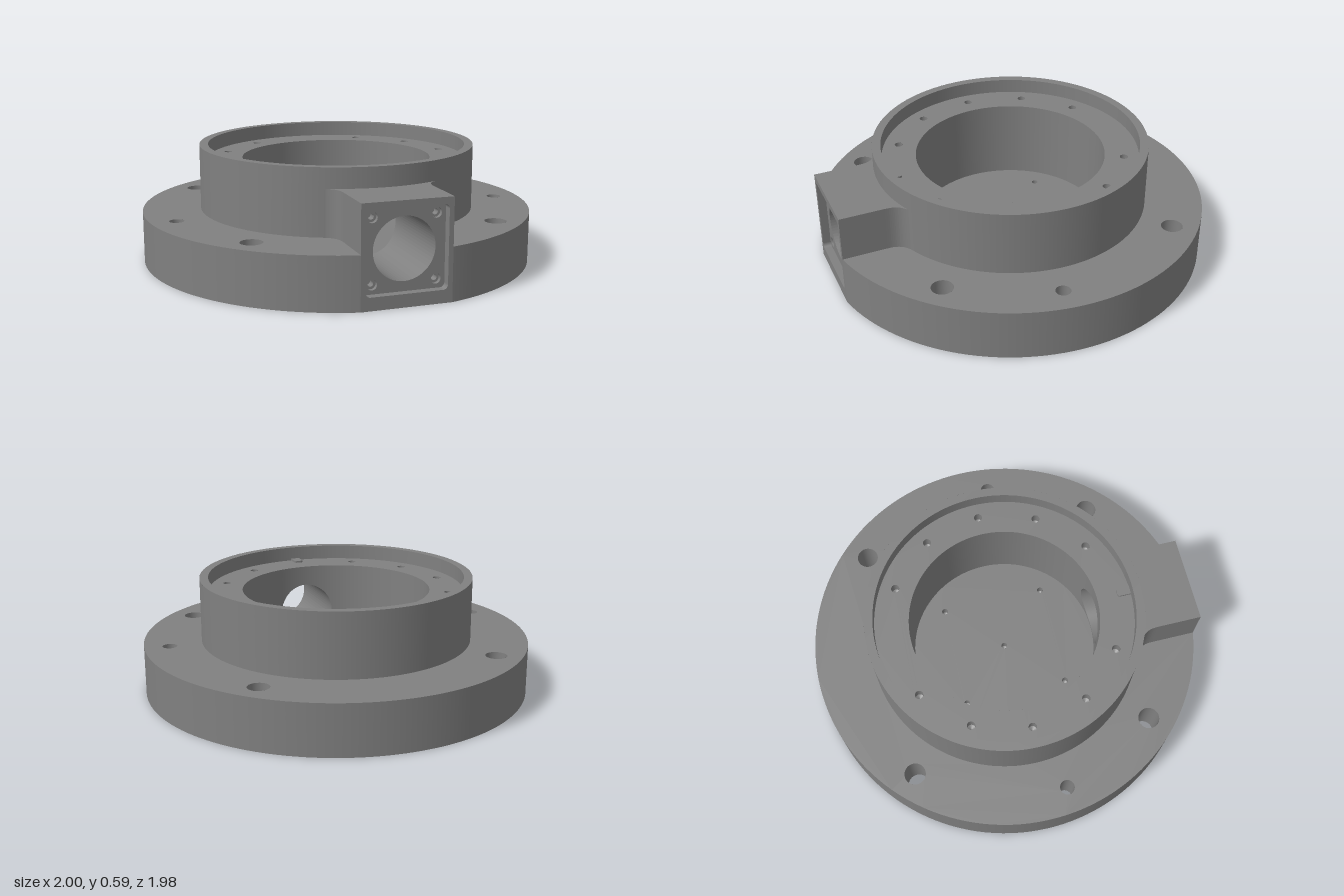
import * as THREE from 'three';
import { ParametricGeometry } from 'three/addons/geometries/ParametricGeometry.js';

const PI = Math.PI;
const FLANGE_TOP = 0.26, TOP = 0.59, SHELF = 0.515, FLOOR = 0.10, RECESS = 0.004;
const R_BOSS = 0.704, R_LIP = 0.66, R_BORE = 0.485, R_RECESS = 0.705;
const PORT_W = 0.22, PORT_TOP = 0.49, PORT_Y = 0.26, PORT_R = 0.15;
const FRONT = Math.sqrt(1 - PORT_W * PORT_W);

export function createModel() {
  const model = new THREE.Group();
  model.name = 'flangedHousing';
  model.position.z = 0.012;
  const root = new THREE.Group();
  root.add(model);
  const mat = new THREE.MeshStandardMaterial({ color: 0x808080, side: THREE.DoubleSide });

  const add = (name, geo, x = 0, y = 0, z = 0) => {
    const m = new THREE.Mesh(geo, mat);
    m.name = name;
    m.position.set(x, y, z);
    model.add(m);
    return m;
  };
  // Open cylinder wall between two heights, leaving a gap at the front
  const wall = (name, r, y0, y1, gap = 0, x = 0, z = 0, seg = 128) =>
    add(name, new THREE.CylinderGeometry(r, r, y1 - y0, seg, 1, true, gap, 2 * PI - 2 * gap), x, (y0 + y1) / 2, z);
  const punch = (shape, x, y, r) => shape.holes.push(new THREE.Path().absarc(x, y, r, 0, 2 * PI, true));
  const disc = (r) => new THREE.Shape().absarc(0, 0, r, 0, 2 * PI, false);
  // Horizontal face from a plan shape whose y is -z
  const face = (name, shape, y, up = true) => {
    const g = new THREE.ShapeGeometry(shape, 64).rotateX(-PI / 2);
    if (!up) {
      const idx = g.index.array;
      for (let i = 0; i < idx.length; i += 3) [idx[i], idx[i + 1]] = [idx[i + 1], idx[i]];
      g.computeVertexNormals();
    }
    add(name, g, 0, y, 0);
  };
  // Drilled hole with a conical tip
  const blindHole = (name, x, z, r, y, depth) => {
    wall(name, r, y - depth, y, 0, x, z, 20);
    add(name + 'Tip', new THREE.ConeGeometry(r, r * 0.6, 20, 1, true).rotateX(PI), x, y - depth - r * 0.3, z);
  };

  // Flange: C-shaped top, ring-shaped underside and outer wall
  const flat = Math.asin(PORT_W), notch = Math.asin(0.21 / 0.695);
  const outline = () => new THREE.Shape().absarc(0, 0, 1, -PI / 2 + flat, 1.5 * PI - flat, false);
  const top = outline().absarc(0, 0, 0.695, 1.5 * PI - notch, -PI / 2 + notch, true);
  const under = outline();
  punch(under, 0, 0, R_RECESS);
  const bolts = [];
  for (const s of [-1, 1]) {
    bolts.push([s * 0.615, -0.615, 0.054], [s * 0.615, 0.615, 0.054], [s * 0.863, 0.115, 0.037]);
  }
  for (const [x, z, r] of bolts) {
    punch(top, x, -z, r);
    punch(under, x, -z, r);
    wall('mountingHole', r, 0, FLANGE_TOP, 0, x, z, 40);
  }
  face('flangeTop', top, FLANGE_TOP);
  face('flangeUnderside', under, 0, false);
  wall('flangeRim', 1, 0, FLANGE_TOP, flat);
  wall('undersideStep', R_RECESS, 0, RECESS);
  face('undersideRecess', disc(R_RECESS), RECESS, false);

  // Boss with raised lip; the front piece bridges the port block
  wall('bossWall', R_BOSS, FLANGE_TOP, TOP, 0.3);
  wall('bossWallFront', R_BOSS, PORT_TOP, TOP, PI - 0.3, 0, 0, 16).rotation.y = PI;
  wall('lipInside', R_LIP, SHELF, TOP);
  const lip = disc(R_BOSS);
  punch(lip, 0, 0, R_LIP);
  face('lipTop', lip, TOP);

  // Shelf with its ring of screw holes and a locating key
  const shelf = disc(R_LIP);
  punch(shelf, 0, 0, R_BORE);
  for (let i = 0; i < 12; i++) {
    if (i % 6 === 3) continue;
    const x = 0.583 * Math.cos(i * PI / 6), z = 0.583 * Math.sin(i * PI / 6);
    punch(shelf, x, -z, 0.021);
    blindHole('shelfScrewHole', x, z, 0.021, SHELF, 0.06);
  }
  face('shelf', shelf, SHELF);
  const key = new THREE.Shape().moveTo(-0.024, -0.659).lineTo(0.024, -0.659).lineTo(0.024, -0.605)
    .quadraticCurveTo(0.024, -0.59, 0.01, -0.59).lineTo(-0.01, -0.59).quadraticCurveTo(-0.024, -0.59, -0.024, -0.605);
  add('locatingKey', new THREE.ExtrudeGeometry(key, { depth: 0.01, bevelEnabled: false }).rotateX(-PI / 2), 0, SHELF, 0);

  // Bore floor with small holes
  const floor = disc(R_BORE);
  for (const [x, z] of [[0, 0], [0.27, 0.27], [-0.27, 0.27], [0.27, -0.27], [-0.27, -0.27]]) {
    punch(floor, x, -z, 0.016);
    blindHole('floorHole', x, z, 0.016, FLOOR, 0.05);
  }
  face('boreFloor', floor, FLOOR);

  // Bore wall, with a curved patch around the port opening
  const patch = 0.4;
  wall('boreWall', R_BORE, FLOOR, SHELF, patch);
  const onBore = (x) => Math.sqrt(R_BORE * R_BORE - x * x);
  add('borePortSurround', new ParametricGeometry((u, v, p) => {
    const c = Math.cos(2 * PI * u), s = Math.sin(2 * PI * u), m = Math.max(Math.abs(c), Math.abs(s));
    const edgeX = c / m * R_BORE * Math.sin(patch);
    const edgeY = s / m * (s > 0 ? SHELF - PORT_Y : PORT_Y - FLOOR);
    const x = THREE.MathUtils.lerp(PORT_R * c, edgeX, v);
    p.set(x, PORT_Y + THREE.MathUtils.lerp(PORT_R * s, edgeY, v), onBore(x));
  }, 64, 6));
  add('portLiner', new ParametricGeometry((u, v, p) => {
    const x = PORT_R * Math.cos(2 * PI * u);
    p.set(x, PORT_Y + PORT_R * Math.sin(2 * PI * u), THREE.MathUtils.lerp(onBore(x), 0.55, v));
  }, 64, 2));

  // Port block: neck, plate with stepped screw holes and front frame, stacked along z
  const slab = (y0) => new THREE.Shape().moveTo(-PORT_W, y0).lineTo(PORT_W, y0)
    .lineTo(PORT_W, PORT_TOP).lineTo(-PORT_W, PORT_TOP).closePath();
  const layer = (name, shape, z0, z1) =>
    add(name, new THREE.ExtrudeGeometry(shape, { depth: z1 - z0, bevelEnabled: false, curveSegments: 32 }), 0, 0, z0);
  const drilled = (y0, screwR) => {
    const shape = slab(y0);
    punch(shape, 0, PORT_Y, PORT_R);
    if (screwR) for (const sx of [-1, 1]) for (const sy of [-1, 1]) punch(shape, sx * 0.153, PORT_Y + sy * 0.153, screwR);
    return shape;
  };
  const frameZ = FRONT - 0.04, stepZ = frameZ - 0.02, plateZ = stepZ - 0.04;
  layer('portNeck', drilled(0.006, 0), 0.55, plateZ);
  layer('portPlate', drilled(0, 0.014), plateZ, stepZ);
  layer('portCounterbores', drilled(0, 0.025), stepZ, frameZ);

  const frame = slab(0);
  const w = 0.197, c = 0.175;
  const pocket = new THREE.Path();
  [[c, c], [-c, c], [-c, -c], [c, -c]].forEach(([x, y], i) =>
    pocket.absarc(x, PORT_Y + y, w - c, i * PI / 2, (i + 1) * PI / 2, false));
  pocket.closePath();
  frame.holes.push(pocket);
  layer('portFrame', frame, frameZ, FRONT);

  // Fillets blending the port block into the boss
  for (const s of [-1, 1]) {
    const fillet = new THREE.Shape().moveTo(s * PORT_W, -0.75)
      .bezierCurveTo(s * PORT_W, -0.69, s * 0.24, -0.665, s * 0.295, -0.636)
      .lineTo(s * 0.27, -0.6).lineTo(s * PORT_W, -0.6).closePath();
    add(s > 0 ? 'leftFillet' : 'rightFillet', new THREE.ExtrudeGeometry(fillet,
      { depth: PORT_TOP - FLANGE_TOP, bevelEnabled: false, curveSegments: 16 }).rotateX(-PI / 2), 0, FLANGE_TOP, 0);
  }
  return root;
}
